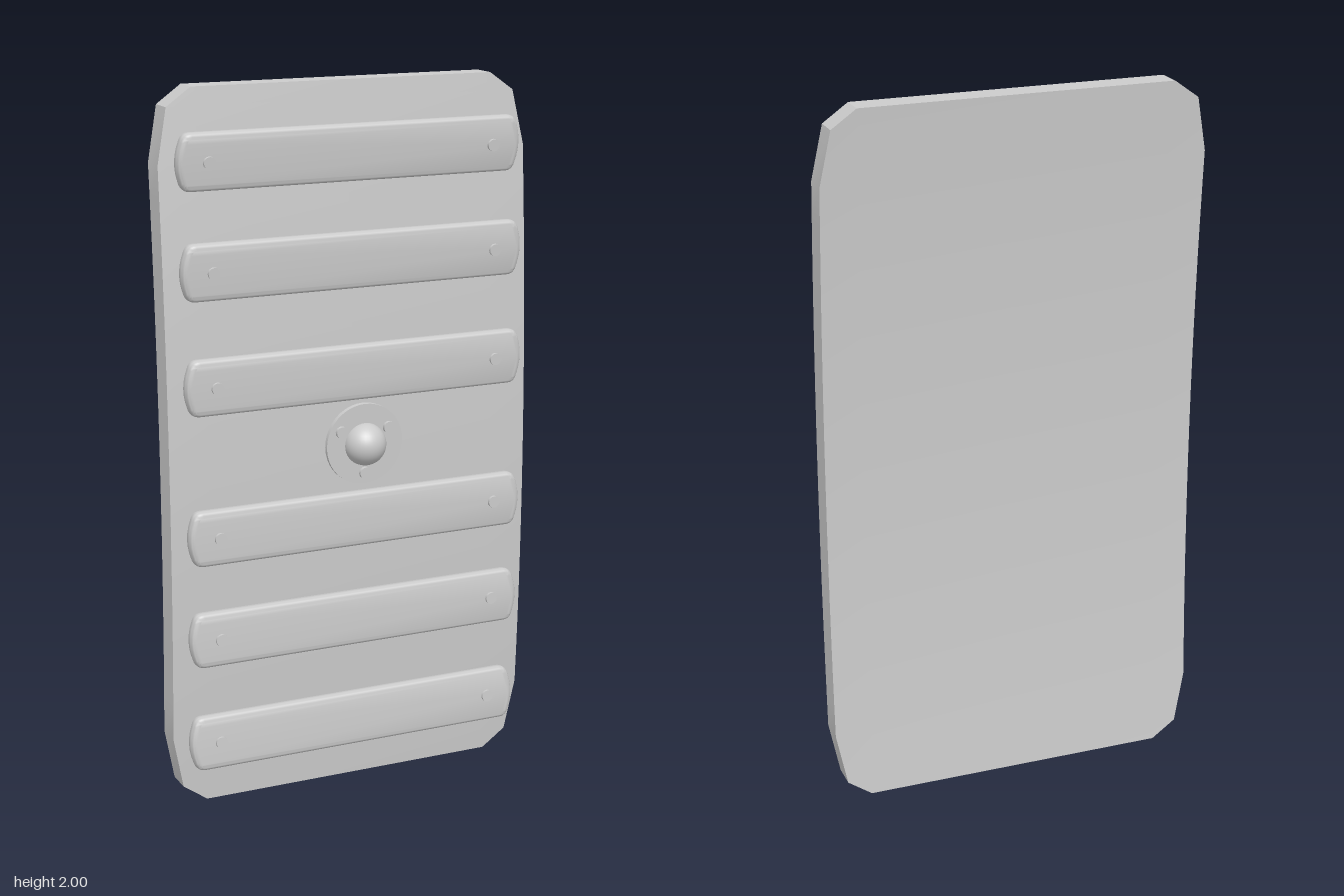
import * as THREE from 'three';
import { toCreasedNormals } from 'three/addons/utils/BufferGeometryUtils.js';

const material = new THREE.MeshStandardMaterial({ color: 0xcccccc });
const THICK = 0.075;

// Gentle backward bow of the board along its height, and its slope
const bow = (y) => -0.005 - 0.0125 * (y - 1) - 0.0425 * (y - 1) ** 2;
const slope = (y) => -0.0125 - 0.085 * (y - 1);

function add(parent, name, geometry, x = 0, y = 0, z = 0) {
  const mesh = new THREE.Mesh(geometry, material);
  mesh.name = name;
  mesh.position.set(x, y, z);
  parent.add(mesh);
  return mesh;
}

// Group lying on the front face of the board at (x, y), its z pointing outward
function surfaceMount(parent, name, x, y) {
  const group = new THREE.Group();
  group.name = name;
  group.position.set(x, y, bow(y) + THICK / 2);
  group.rotation.x = -Math.atan(slope(y));
  parent.add(group);
  return group;
}

// Board: a subdivided box, narrowed in steps at the corners and bowed
function boardGeometry() {
  const rows = [[0, 0.44], [0.05, 0.51], [0.2, 0.54]];
  for (let y = 0.3; y < 1.75; y += 0.1) rows.push([y, 0.54]);
  rows.push([1.8, 0.54], [1.95, 0.51], [2, 0.44]);
  const n = rows.length - 1;
  const geometry = new THREE.BoxGeometry(4, n, THICK, 4, n, 1);
  const p = geometry.attributes.position;
  for (let i = 0; i < p.count; i++) {
    const [y, w] = rows[Math.round(p.getY(i) + n / 2)];
    const column = Math.round(p.getX(i));
    const edge = Math.abs(column) === 2;
    const x = Math.sign(column) * (edge ? w : column === 0 ? 0 : 0.43);
    const drop = 0.005 * Math.max(0, (Math.abs(x) - 0.43) / 0.11);
    p.setXYZ(i, x, y, p.getZ(i) + bow(y) - drop);
  }
  return toCreasedNormals(geometry, 0.35);
}

// Slat: rounded bar with slightly bulging ends and soft edges
function slatGeometry() {
  const s = new THREE.Shape();
  s.moveTo(-0.465, -0.078);
  s.lineTo(0.465, -0.078);
  s.quadraticCurveTo(0.488, -0.078, 0.494, -0.055);
  s.quadraticCurveTo(0.514, 0, 0.494, 0.055);
  s.quadraticCurveTo(0.488, 0.078, 0.465, 0.078);
  s.lineTo(-0.465, 0.078);
  s.quadraticCurveTo(-0.488, 0.078, -0.494, 0.055);
  s.quadraticCurveTo(-0.514, 0, -0.494, -0.055);
  s.quadraticCurveTo(-0.488, -0.078, -0.465, -0.078);
  const geometry = new THREE.ExtrudeGeometry(s, {
    depth: 0.012, bevelThickness: 0.015, bevelSize: 0.015,
    bevelOffset: -0.015, bevelSegments: 4, curveSegments: 6,
  });
  return toCreasedNormals(geometry, 0.7);
}

const disc = (radius, height, sides) =>
  new THREE.CylinderGeometry(radius, radius, height, sides).rotateX(Math.PI / 2);

export function createModel() {
  const model = new THREE.Group();
  model.name = 'slattedBoard';
  add(model, 'board', boardGeometry());

  // Six slats, each held by a rivet near either end
  const slat = slatGeometry();
  const rivet = disc(0.017, 0.02, 16);
  for (const y of [1.81, 1.52, 1.21, 0.79, 0.495, 0.185]) {
    const mount = surfaceMount(model, 'slatAssembly', 0.005, y);
    add(mount, 'slat', slat, 0, 0, 0.011);
    for (const side of [-1, 1]) add(mount, 'slatRivet', rivet, side * 0.418, 0, 0.036);
  }

  // Central boss: thin plate, three rivets and a round knob
  const boss = surfaceMount(model, 'boss', 0.03, 1);
  add(boss, 'bossPlate', disc(0.115, 0.02, 40), 0, 0, 0.002);
  add(boss, 'knob', new THREE.SphereGeometry(0.06, 32, 20), 0, 0, 0.012);
  for (let i = 0; i < 3; i++) {
    const a = -Math.PI / 2 + (i * Math.PI * 2) / 3;
    add(boss, 'bossRivet', rivet, Math.cos(a) * 0.083, Math.sin(a) * 0.083, 0.012);
  }
  return model;
}
